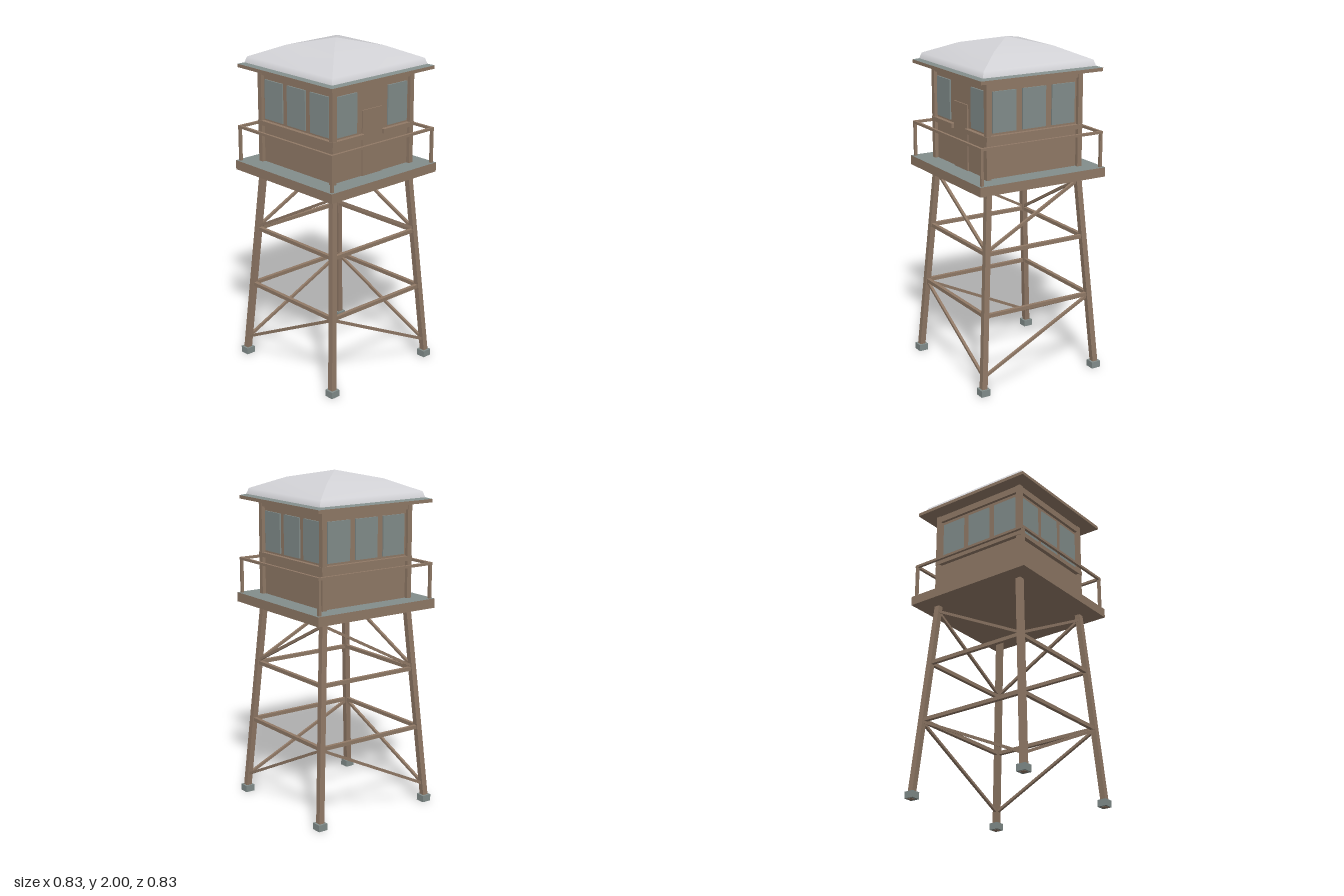
import * as THREE from 'three';

export function createModel() {
  const tower = new THREE.Group();
  tower.name = 'watchtower';
  const material = (name, color) => {
    const m = new THREE.MeshStandardMaterial({ color });
    m.name = name;
    return m;
  };
  const wood = material('brown wood', 0x907966);
  const slate = material('grey green', 0x828d8b);
  const snow = material('pale snow', 0xd1d1d5);

  const add = (parent, name, geometry, mat) => {
    const mesh = new THREE.Mesh(geometry, mat);
    mesh.name = name;
    parent.add(mesh);
    return mesh;
  };
  // Box given by its low and high corners
  const box = (parent, name, [x0, y0, z0], [x1, y1, z1], mat) => {
    const mesh = add(parent, name, new THREE.BoxGeometry(x1 - x0, y1 - y0, z1 - z0), mat);
    mesh.position.set((x0 + x1) / 2, (y0 + y1) / 2, (z0 + z1) / 2);
  };
  // Straight beam between two points, aimed before it joins its turned parent
  const strut = (parent, name, a, b, thickness) => {
    const mesh = new THREE.Mesh(new THREE.BoxGeometry(thickness, thickness, a.distanceTo(b)), wood);
    mesh.name = name;
    mesh.position.copy(a).lerp(b, 0.5);
    mesh.lookAt(b);
    parent.add(mesh);
  };
  // Square roof from a profile of [half width, height]: rounded along the slope, sharp at the hips
  const hipRoof = (name, profile, mat) => {
    const points = profile.map(([r, y]) => new THREE.Vector2(r * Math.SQRT2, y));
    for (let i = 0; i < 4; i++) {
      const slope = new THREE.LatheGeometry(points, 1, (i - 0.5) * Math.PI / 2, Math.PI / 2);
      slope.computeVertexNormals();
      add(tower, name, slope, mat);
    }
  };
  const V = (x, y, z) => new THREE.Vector3(x, y, z);
  const spread = (y) => 0.39 - 0.0733 * y; // leg distance from the axis

  // Leaning legs and their footings
  for (const sx of [-1, 1]) {
    for (const sz of [-1, 1]) {
      const leg = new THREE.BoxGeometry(0.034, 1.21, 0.034).translate(0, 0.605, 0);
      const p = leg.attributes.position;
      for (let i = 0; i < p.count; i++) {
        const r = spread(p.getY(i));
        p.setX(i, p.getX(i) + sx * r);
        p.setZ(i, p.getZ(i) + sz * r);
      }
      leg.computeVertexNormals();
      add(tower, 'leg', leg, wood);
      const x = sx * 0.387, z = sz * 0.387, h = 0.029;
      box(tower, 'footing', [x - h, 0.002, z - h], [x + h, 0.042, z + h], slate);
    }
  }

  // Deck, with a grey walking surface
  box(tower, 'deck', [-0.417, 1.204, -0.417], [0.417, 1.26, 0.417],
    [wood, wood, slate, wood, wood, wood]);

  // Cabin core
  box(tower, 'cabinWalls', [-0.297, 1.26, -0.297], [0.297, 1.825, 0.297], wood);

  // Everything that repeats around the four sides
  for (let side = 0; side < 4; side++) {
    const face = new THREE.Group();
    face.name = ['frontSide', 'leftSide', 'backSide', 'rightSide'][side];
    face.rotation.y = side * Math.PI / 2;
    tower.add(face);

    // Horizontal ties, and one diagonal per tier leaning the other way on each next side
    for (const y of [0.833, 0.472]) {
      const r = spread(y);
      strut(face, 'tie', V(-r, y, r), V(r, y, r), 0.022);
    }
    const s = side % 2 ? 1 : -1;
    for (const [hi, lo] of [[1.175, 0.845], [0.465, 0.11]]) {
      const a = spread(hi), b = spread(lo);
      strut(face, 'brace', V(s * a, hi, a), V(-s * b, lo, b), 0.016);
    }

    // Railing
    box(face, 'handrail', [-0.405, 1.459, 0.389], [0.405, 1.474, 0.405], wood);
    box(face, 'railPost', [0.388, 1.26, 0.388], [0.404, 1.46, 0.404], wood);

    // Cabin frame; the front sill stops at the door
    box(face, 'cornerPost', [0.289, 1.26, 0.289], [0.319, 1.825, 0.319], wood);
    box(face, 'topBeam', [-0.289, 1.782, 0.29], [0.289, 1.825, 0.315], wood);
    const sills = side === 0 ? [[-0.32, -0.077], [0.077, 0.32]] : [[-0.32, 0.32]];
    for (const [x0, x1] of sills) {
      box(face, 'sillBeam', [x0, 1.483, 0.29], [x1, 1.51, 0.322], wood);
    }

    // Windows, and the door in the middle of the front
    const windows = side === 0 ? [-0.199, 0.199] : [-0.195, 0, 0.195];
    for (const x of windows) {
      box(face, 'window', [x - 0.077, 1.523, 0.298], [x + 0.077, 1.757, 0.307], slate);
    }
    if (side === 0) box(face, 'door', [-0.077, 1.26, 0.296], [0.077, 1.645, 0.305], wood);
  }

  // Roof: wooden eaves, grey covering and a snow cap
  box(tower, 'eaves', [-0.4, 1.822, -0.4], [0.4, 1.842, 0.4], wood);
  hipRoof('roofCovering', [[0.4, 1.842], [0.34, 1.86]], slate);
  hipRoof('snowCap', [[0.372, 1.848], [0.36, 1.885], [0.2, 1.955], [0, 2]], snow);

  return tower;
}
